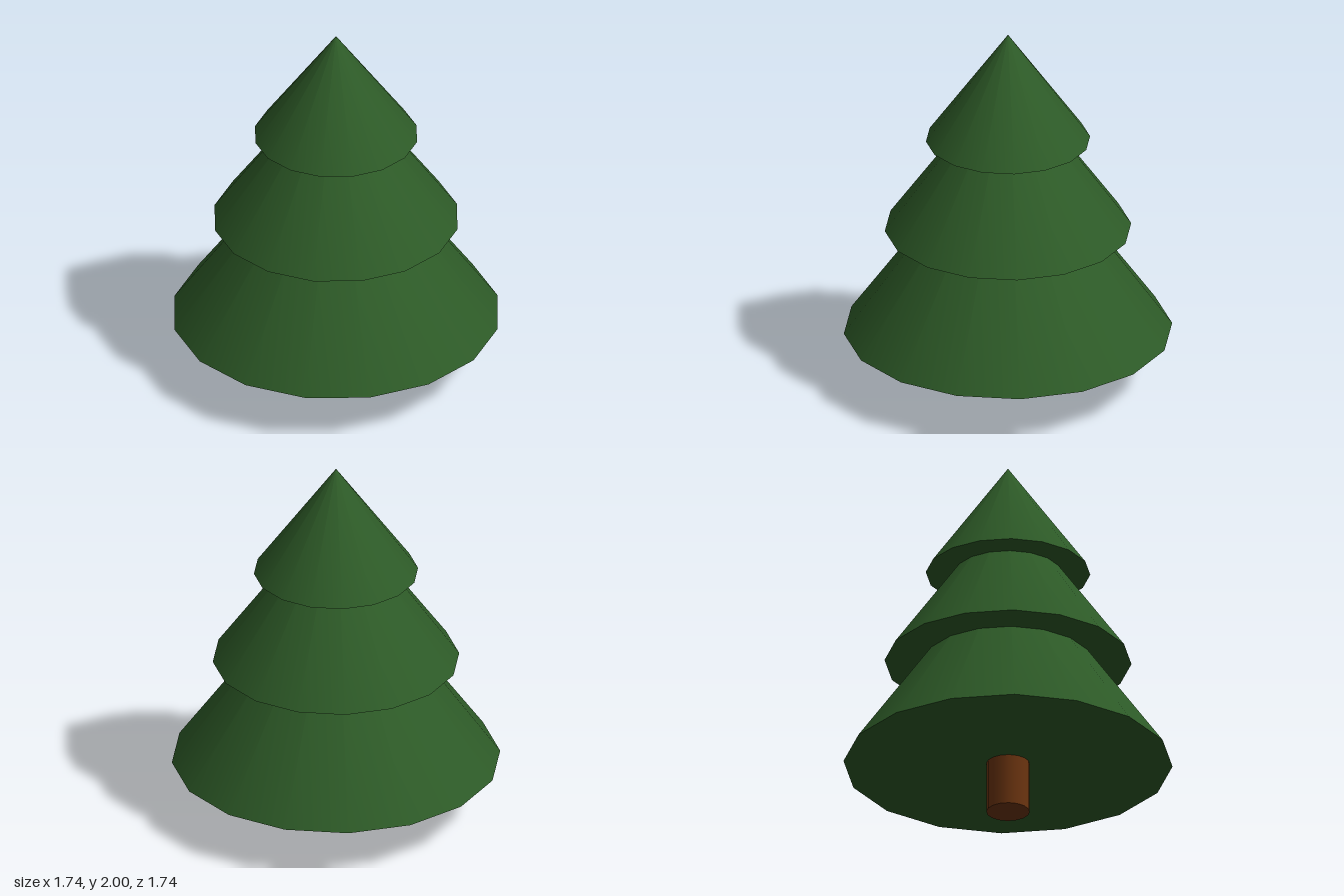
import * as THREE from 'three';

export function createModel() {
  const tree = new THREE.Group();
  tree.name = 'pineTree';

  const needles = new THREE.MeshStandardMaterial({ color: 0x2d5a27 });
  needles.name = 'needleGreen';
  const bark = new THREE.MeshStandardMaterial({ color: 0x6b3410 });
  bark.name = 'barkBrown';

  // Trunk, reaching a little way into the lowest tier
  const trunkHeight = 0.44;
  const trunk = new THREE.Mesh(new THREE.CylinderGeometry(0.115, 0.115, trunkHeight, 16), bark);
  trunk.name = 'trunk';
  trunk.position.y = trunkHeight / 2;
  tree.add(trunk);

  // Three overlapping foliage cones, all with the same slope
  const tiers = [
    { name: 'lowerFoliage', radius: 0.87, base: 0.28, height: 1.22 },
    { name: 'middleFoliage', radius: 0.653, base: 0.873, height: 0.915 },
    { name: 'upperFoliage', radius: 0.435, base: 1.39, height: 0.61 },
  ];
  for (const { name, radius, base, height } of tiers) {
    const tier = new THREE.Mesh(new THREE.ConeGeometry(radius, height, 16), needles);
    tier.name = name;
    tier.position.y = base + height / 2;
    tree.add(tier);
  }

  return tree;
}
